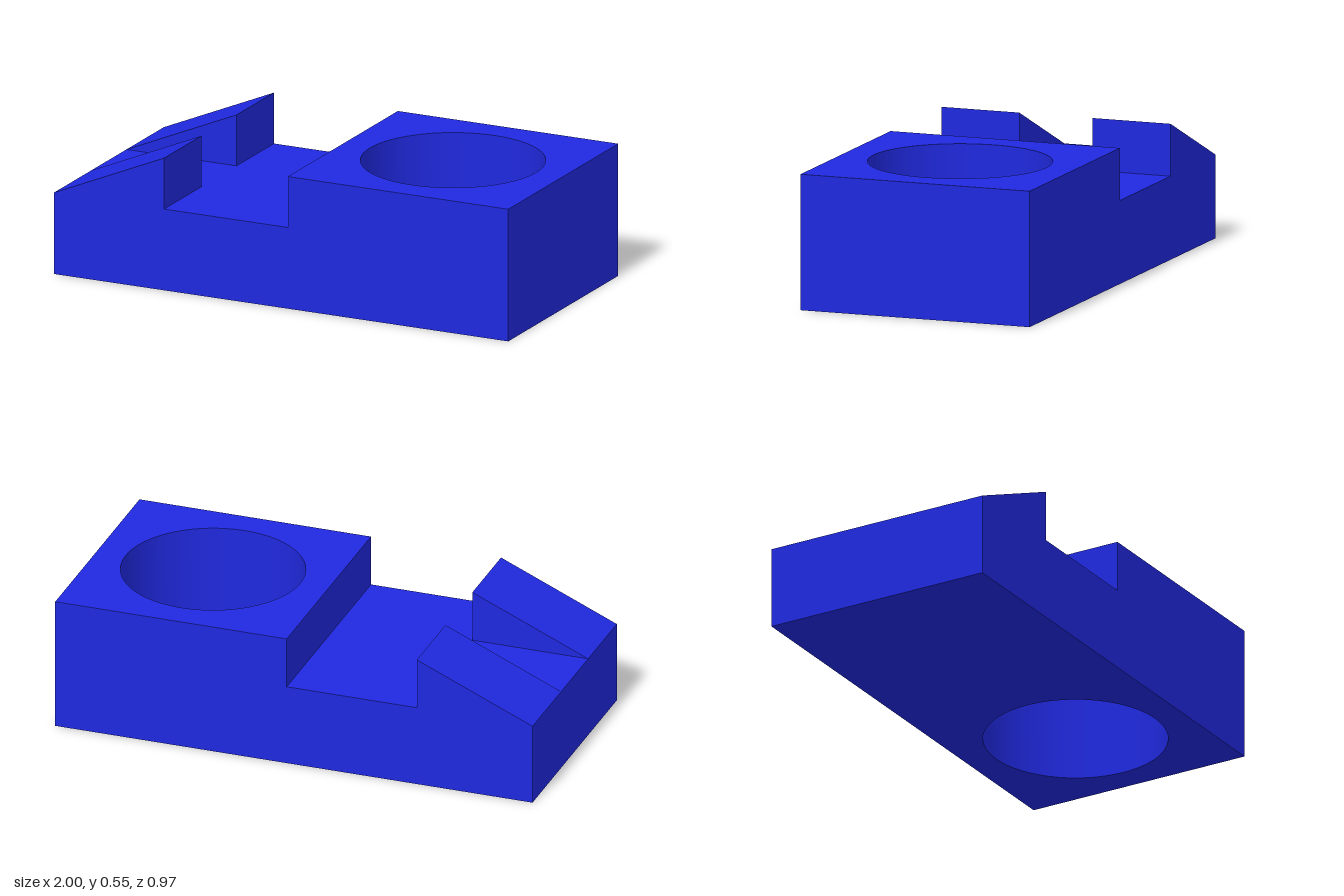
import * as THREE from 'three';
import { toCreasedNormals } from 'three/addons/utils/BufferGeometryUtils.js';

const HEIGHT = 0.545, DECK = 0.335, HALF_DEPTH = 0.485;
const STEP_X = 0.03, WEDGE_X = -0.515, WEDGE_Z = 0.155;

const material = new THREE.MeshStandardMaterial({ color: 0x2029e0 });

function polygon(points) {
  return new THREE.Shape(points.map(([x, y]) => new THREE.Vector2(x, y)));
}

function extrude(shape, depth) {
  const geometry = new THREE.ExtrudeGeometry(shape, { depth, bevelEnabled: false, curveSegments: 64 });
  return toCreasedNormals(geometry, 0.5);
}

export function createModel() {
  const group = new THREE.Group();
  const add = (name, geometry) => {
    const mesh = new THREE.Mesh(geometry, material);
    mesh.name = name;
    group.add(mesh);
    return mesh;
  };

  // Tall block with a round vertical through hole
  const outline = polygon([
    [STEP_X, -HALF_DEPTH], [1, -HALF_DEPTH], [1, HALF_DEPTH], [STEP_X, HALF_DEPTH],
  ]);
  outline.holes.push(new THREE.Path().absarc((STEP_X + 1) / 2, 0, 0.365, 0, Math.PI * 2, true));
  add('boredBlock', extrude(outline, HEIGHT).rotateX(-Math.PI / 2));

  // Low deck beside the block
  const deck = add('deck', new THREE.BoxGeometry(STEP_X + 1, DECK, HALF_DEPTH * 2));
  deck.position.set((STEP_X - 1) / 2, DECK / 2, 0);

  // Pair of ramps with a channel between them
  const ramp = polygon([[-1, DECK], [WEDGE_X, DECK], [WEDGE_X, HEIGHT]]);
  for (const [name, z] of [['frontRamp', WEDGE_Z], ['backRamp', -HALF_DEPTH]]) {
    add(name, extrude(ramp, HALF_DEPTH - WEDGE_Z)).position.z = z;
  }

  return group;
}
